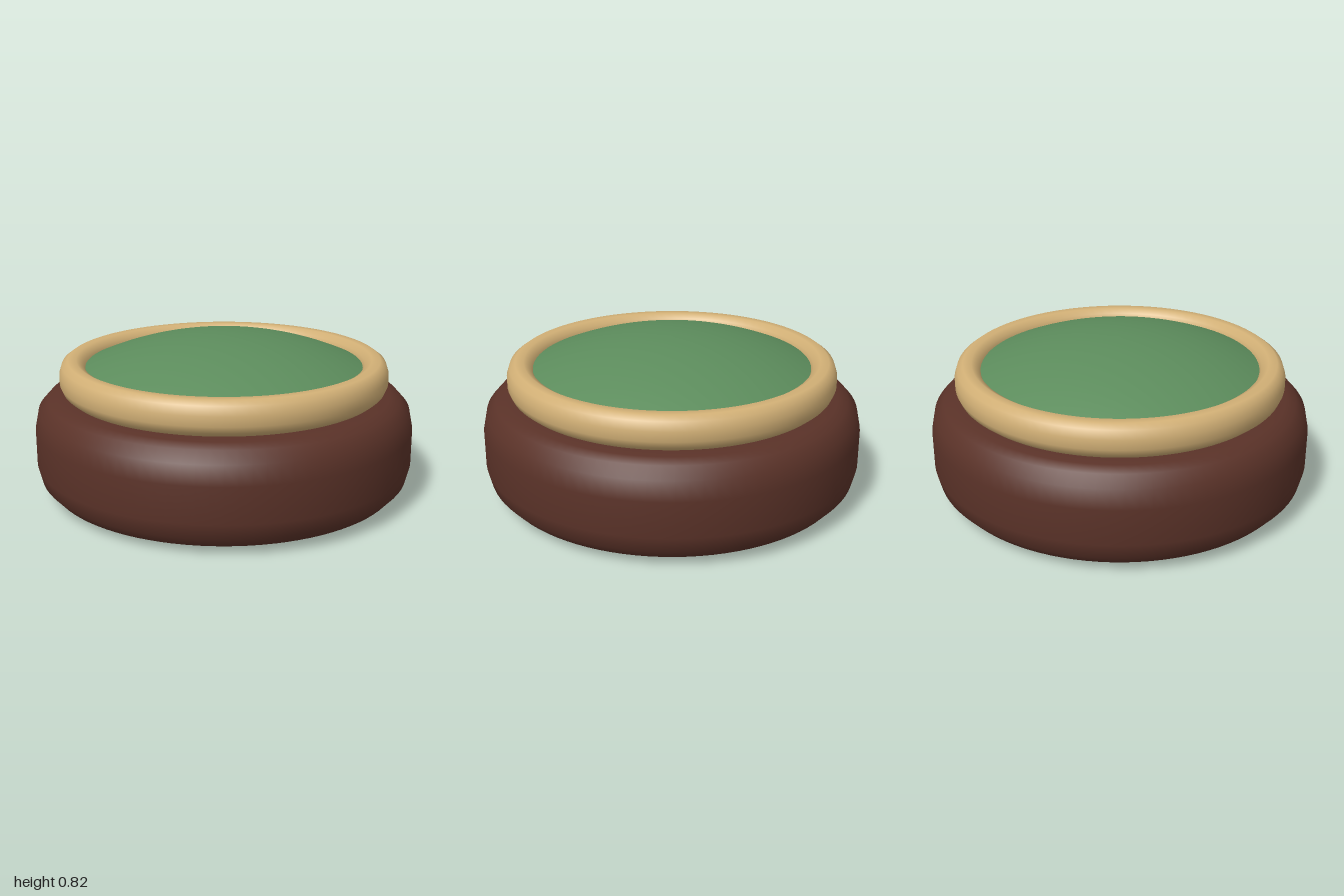
import * as THREE from 'three';

const SEGMENTS = 96;

function material(name, color) {
  const m = new THREE.MeshStandardMaterial({ color });
  m.name = name;
  return m;
}

// Turned part from [radius, height] pairs, listed from the bottom outward and up
function turned(name, profile, mat) {
  const points = profile.map(([r, y]) => new THREE.Vector2(r, y));
  const mesh = new THREE.Mesh(new THREE.LatheGeometry(points, SEGMENTS), mat);
  mesh.name = name;
  return mesh;
}

export function createModel() {
  const group = new THREE.Group();
  group.name = 'domedButton';
  const brown = material('dark brown', 0x5a3228);
  const tan = material('tan', 0xd2b076);
  const green = material('green', 0x5c8c5c);

  // Heavy rounded base
  group.add(turned('base', [
    [0, 0], [0.8, 0], [0.845, 0.006], [0.93, 0.04], [0.98, 0.095], [1, 0.175],
    [1, 0.36], [0.98, 0.455], [0.93, 0.51], [0.88, 0.53], [0.8, 0.54], [0, 0.54],
  ], brown));

  // Raised rounded rim, a closed section
  group.add(turned('rim', [
    [0.73, 0.535], [0.82, 0.535], [0.85, 0.56], [0.865, 0.595], [0.865, 0.645],
    [0.85, 0.69], [0.82, 0.712], [0.775, 0.712], [0.74, 0.69], [0.725, 0.65],
    [0.725, 0.595], [0.73, 0.535],
  ], tan));

  // Shallow spherical cap set inside the rim
  const rimRadius = 0.73, top = 0.825, sphere = 1.8;
  const cap = [];
  for (let i = 0; i <= 16; i++) {
    const r = rimRadius * (1 - i / 16);
    cap.push([r, top - sphere + Math.sqrt(sphere * sphere - r * r)]);
  }
  group.add(turned('dome', cap, green));

  return group;
}
